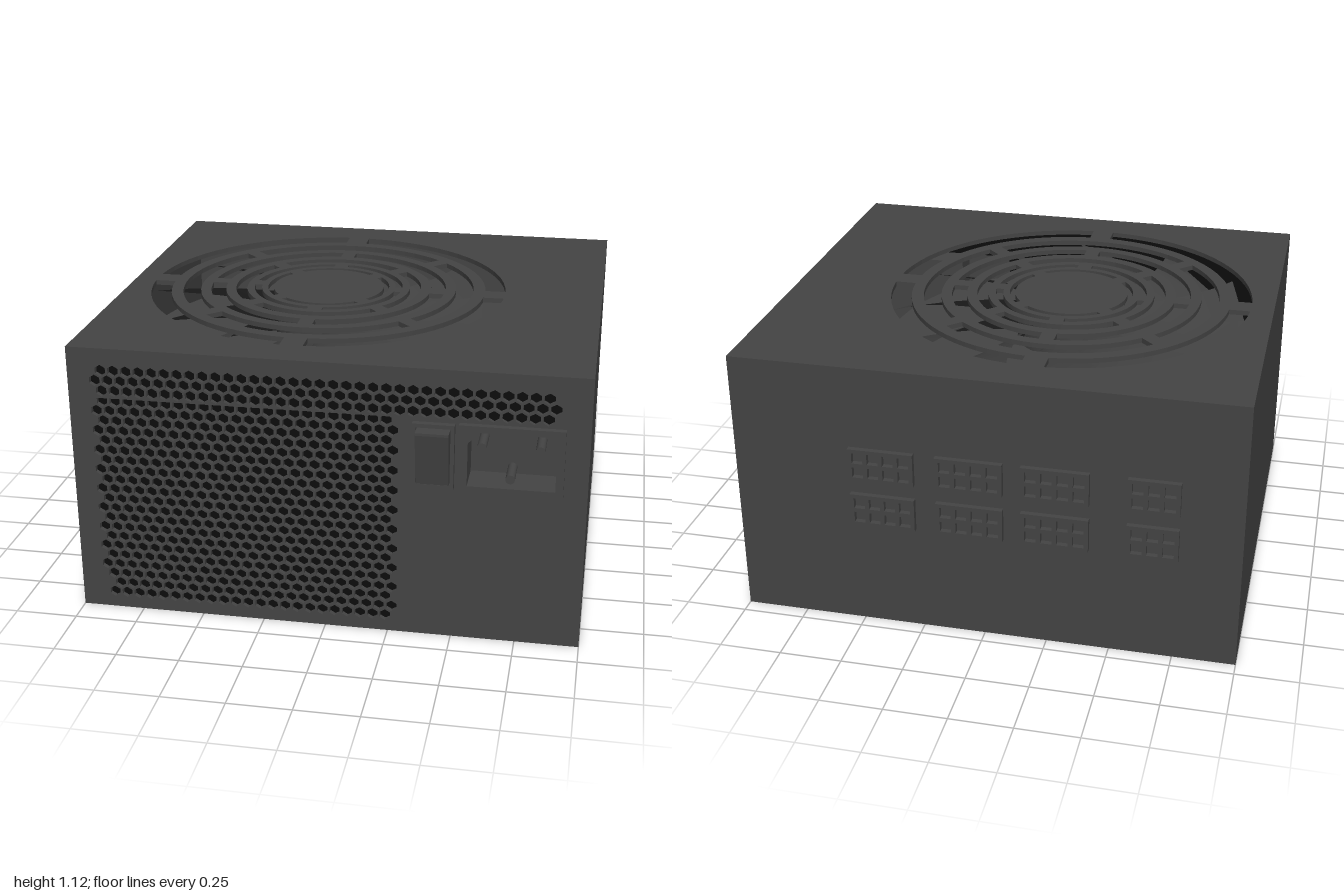
import * as THREE from 'three';

const W = 2, H = 1.115, BACK = -0.94, FRONT = 0.89, T = 0.02;
const FAN_X = -0.155, FAN_Z = -0.022;

const rectPoints = (x0, y0, x1, y1) =>
  [[x0, y0], [x1, y0], [x1, y1], [x0, y1]].map(([x, y]) => new THREE.Vector2(x, y));

// socket opening with clipped upper corners
const socketPoints = () => [[0.55, 0.665], [0.88, 0.665], [0.88, 0.84], [0.835, 0.885], [0.595, 0.885], [0.55, 0.84]]
  .map(([x, y]) => new THREE.Vector2(x, y));

function plate(outline, holes, depth) {
  const shape = new THREE.Shape(outline);
  holes.forEach(h => shape.holes.push(new THREE.Path(h)));
  return new THREE.ExtrudeGeometry(shape, { depth, bevelEnabled: false });
}

// staggered hexagonal vents: three full-width rows, then a narrower field
function ventHoles() {
  const holes = [], pitch = 0.0503, r = 0.0235;
  for (let row = 0; row < 24; row++) {
    const shifted = row < 3 ? row === 1 : row % 2 === 0;
    const count = row < 3 ? (shifted ? 36 : 35) : (shifted ? 24 : 23);
    const y = 1.025 - row * 0.0416;
    for (let i = row === 22 ? 1 : 0; i < count; i++) {
      const x = (shifted ? -0.892 : -0.867) + i * pitch;
      holes.push(Array.from({ length: 6 }, (_, k) => {
        const a = Math.PI / 6 + k * Math.PI / 3;
        return new THREE.Vector2(x + r * Math.cos(a), y + r * Math.sin(a));
      }));
    }
  }
  return holes;
}

// four curved slots per ring, bridges alternating between axes and diagonals
function grilleHoles() {
  const rings = [[0.667, 0.752], [0.543, 0.617], [0.437, 0.499], [0.347, 0.394], [0.285, 0.315], [0.235, 0.258]];
  const holes = [];
  rings.forEach(([r0, r1], n) => {
    const half = n === 0 ? 0.046 : 0.03;
    for (let q = 0; q < 4; q++) {
      const start = q * Math.PI / 2 + (n % 2) * Math.PI / 4, pts = [], steps = 18;
      for (const r of [r1, r0]) {
        const a0 = Math.asin(half / r), arc = [];
        for (let i = 0; i <= steps; i++) {
          const a = start + a0 + (Math.PI / 2 - 2 * a0) * i / steps;
          arc.push(new THREE.Vector2(FAN_X + r * Math.cos(a), -FAN_Z + r * Math.sin(a)));
        }
        pts.push(...(r === r1 ? arc : arc.reverse()));
      }
      holes.push(pts);
    }
  });
  return holes;
}

// pitched fan blade swept from hub to tip
function bladeGeometry() {
  const pos = [], index = [], n = 8;
  for (let i = 0; i <= n; i++) {
    const r = 0.2 + 0.56 * i / n, sweep = 0.35 * i / n;
    for (const [da, y] of [[0, 0], [0.52, 0.13]]) {
      pos.push(r * Math.cos(sweep + da), y, -r * Math.sin(sweep + da));
    }
    if (i < n) {
      const a = i * 2;
      index.push(a, a + 2, a + 1, a + 1, a + 2, a + 3);
    }
  }
  const g = new THREE.BufferGeometry();
  g.setAttribute('position', new THREE.Float32BufferAttribute(pos, 3));
  g.setIndex(index);
  g.computeVertexNormals();
  return g;
}

export function createModel() {
  const model = new THREE.Group();
  const mat = (name, color, side = THREE.FrontSide) => {
    const m = new THREE.MeshStandardMaterial({ color, side });
    m.name = name;
    return m;
  };
  const casing = mat('casing grey', 0x444444);
  const blades = mat('fan grey', 0x404040, THREE.DoubleSide);
  const dark = mat('interior black', 0x0c0c0c);
  const add = (name, geo, material, x = 0, y = 0, z = 0, parent = model) => {
    const m = new THREE.Mesh(geo, material);
    m.name = name;
    m.position.set(x, y, z);
    parent.add(m);
    return m;
  };
  const box = (name, x0, x1, y0, y1, z0, z1, material = casing) => add(name,
    new THREE.BoxGeometry(x1 - x0, y1 - y0, z1 - z0), material, (x0 + x1) / 2, (y0 + y1) / 2, (z0 + z1) / 2);

  // casing
  box('bottomPanel', -1, 1, 0, T, BACK, FRONT);
  box('leftPanel', 1 - T, 1, T, H - T, BACK, FRONT);
  box('rightPanel', -1, -1 + T, T, H - T, BACK, FRONT);
  box('backPanel', -1 + T, 1 - T, T, H - T, BACK, BACK + T);
  add('frontPanel', plate(rectPoints(-1 + T, T, 1 - T, H - T), [...ventHoles(), socketPoints()], T), casing, 0, 0, FRONT - T);
  add('topPanel', plate(rectPoints(-1, -FRONT, 1, -BACK), grilleHoles(), T).rotateX(-Math.PI / 2), casing, 0, H - T, 0);

  // dark backing behind the vents
  box('ventBacking', -0.95, 0.32, 0.03, 1.07, FRONT - 0.05, FRONT - 0.04, dark);
  box('upperVentBacking', 0.32, 0.93, 0.91, 1.07, FRONT - 0.05, FRONT - 0.04, dark);

  // fan
  const fan = new THREE.Group();
  fan.name = 'fan';
  fan.position.set(FAN_X, H - 0.2, FAN_Z);
  model.add(fan);
  add('fanHub', new THREE.CylinderGeometry(0.225, 0.225, 0.16, 48), casing, 0, 0.08, 0, fan);
  const blade = bladeGeometry();
  for (let i = 0; i < 11; i++) {
    add('fanBlade', blade, blades, 0, 0.01, 0, fan).rotation.y = i * 2 * Math.PI / 11;
  }
  add('fanBase', new THREE.CylinderGeometry(0.78, 0.78, 0.02, 64), casing, 0, -0.03, 0, fan);

  // power switch
  add('switchFrame', plate(rectPoints(0.34, 0.645, 0.5, 0.905), [rectPoints(0.355, 0.66, 0.485, 0.89)], 0.025), casing, 0, 0, FRONT);
  const wedge = new THREE.Shape([[0.89, 0.662], [0.917, 0.662], [0.958, 0.875], [0.958, 0.885], [0.89, 0.885]]
    .map(([z, y]) => new THREE.Vector2(-z, y)));
  add('switchRocker', new THREE.ExtrudeGeometry(wedge, { depth: 0.126, bevelEnabled: false }).rotateY(Math.PI / 2),
    casing, 0.357, 0, 0);

  // power socket with a recess and three pins
  add('socketFrame', plate(rectPoints(0.515, 0.64, 0.91, 0.91), [socketPoints()], 0.025), casing, 0, 0, FRONT);
  add('socketRecess', plate(rectPoints(0.53, 0.65, 0.9, 0.9), [socketPoints()], 0.1), casing, 0, 0, FRONT - T - 0.1);
  box('socketFloor', 0.53, 0.9, 0.65, 0.9, FRONT - 0.14, FRONT - 0.12);
  for (const [x, y] of [[0.6, 0.815], [0.818, 0.815], [0.71, 0.692]]) {
    add('socketPin', new THREE.CylinderGeometry(0.018, 0.018, 0.12, 16).rotateX(Math.PI / 2), casing, x, y, FRONT - 0.06);
  }

  // cable connectors on the back, each a plate with two rows of square openings
  for (const [x0, x1, cols] of [[-0.76, -0.56, 3], [-0.415, -0.15, 4], [-0.08, 0.185, 4], [0.27, 0.53, 4]]) {
    for (const y0 of [0.445, 0.643]) {
      const holes = [], pitch = (x1 - x0 - 0.016) / cols;
      for (let c = 0; c < cols; c++) {
        for (let r = 0; r < 2; r++) {
          const x = x0 + 0.008 + (c + 0.5) * pitch, y = y0 + 0.038 + r * 0.061;
          holes.push(rectPoints(x - 0.022, y - 0.022, x + 0.022, y + 0.022));
        }
      }
      add('cableConnector', plate(rectPoints(x0, y0, x1, y0 + 0.137), holes, 0.022), casing, 0, 0, BACK - 0.022);
    }
  }
  return model;
}
